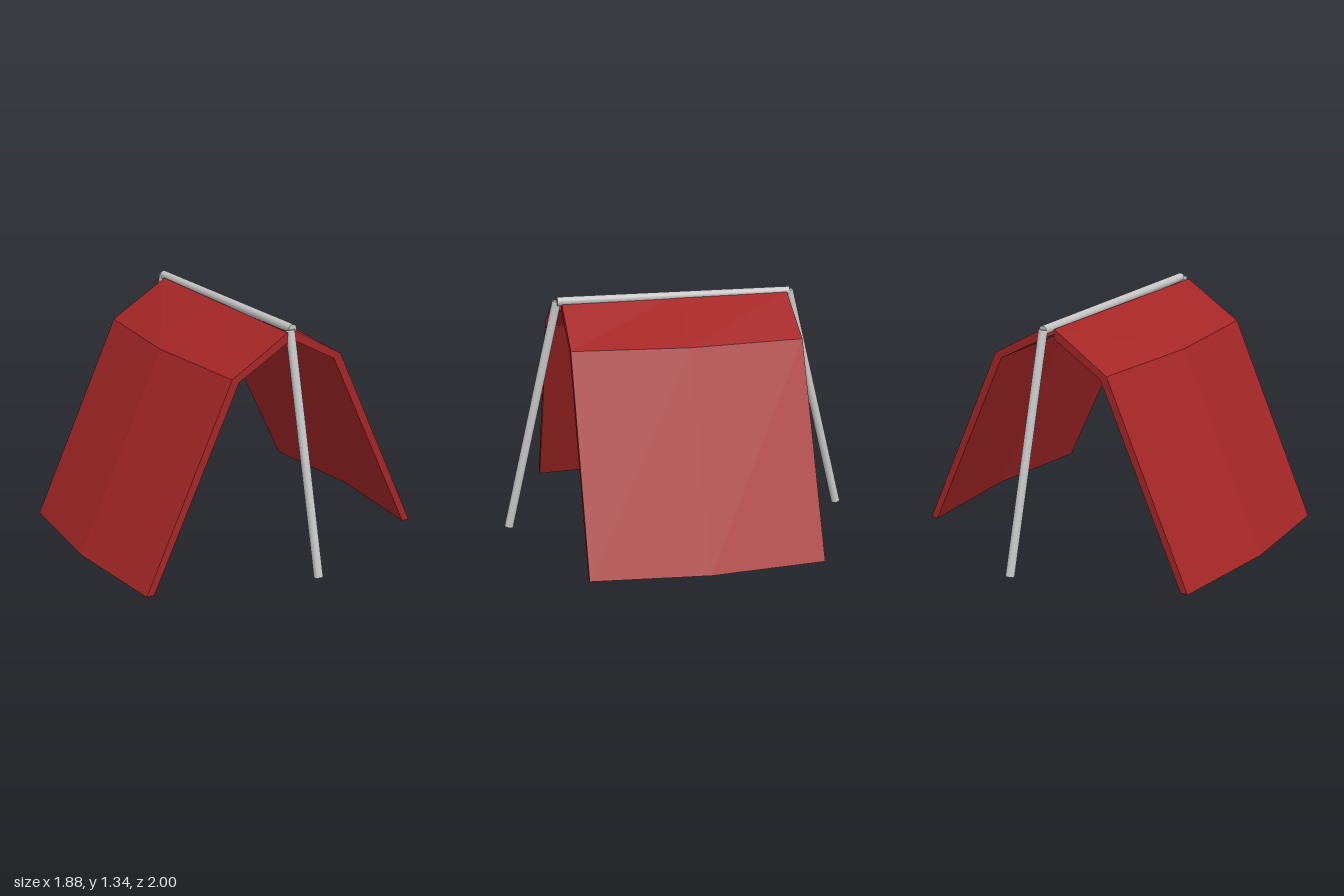
import * as THREE from 'three';

const red = new THREE.MeshStandardMaterial({ color: 0xa52626, flatShading: true });
red.name = 'red canvas';
const grey = new THREE.MeshStandardMaterial({ color: 0xc4c4c4 });
grey.name = 'pale grey metal';

// Canvas side: closed cross-section lofted through the back, middle and front.
// Its knee and foot bulge outwards in the middle.
function canvasSide(name, side, zBack, zFront, lift) {
  const section = (bulge) => [
    [0.018, 1.306], [0.36 + bulge, 1.108], [0.885 + bulge, 0.003],
    [0.84 + bulge, 0.003], [0.318 + bulge, 1.085], [0.018, 1.25],
  ];
  const rings = [[0, zBack], [0.057, (zBack + zFront) / 2], [0, zFront]].map(([bulge, z]) =>
    section(bulge).map(([x, y]) => [x * side, y + lift, z]));
  const pos = [];
  const tri = (a, b, c) => pos.push(...a, ...(side > 0 ? [...b, ...c] : [...c, ...b]));
  const quad = (a, b, c, d) => { tri(a, b, c); tri(a, c, d); };
  for (let r = 0; r < 2; r++) {
    for (let i = 0; i < 6; i++) {
      const j = (i + 1) % 6;
      quad(rings[r][i], rings[r + 1][i], rings[r + 1][j], rings[r][j]);
    }
  }
  // End caps, one quad for the roof and one for the wall
  const [b, , f] = rings;
  quad(b[0], b[1], b[4], b[5]);
  quad(b[1], b[2], b[3], b[4]);
  quad(f[5], f[4], f[1], f[0]);
  quad(f[4], f[3], f[2], f[1]);
  const geo = new THREE.BufferGeometry();
  geo.setAttribute('position', new THREE.Float32BufferAttribute(pos, 3));
  geo.computeVertexNormals();
  const mesh = new THREE.Mesh(geo, red);
  mesh.name = name;
  return mesh;
}

// Round pole between two points
function pole(name, from, to) {
  const a = new THREE.Vector3(...from), b = new THREE.Vector3(...to);
  const dir = b.clone().sub(a);
  const mesh = new THREE.Mesh(new THREE.CylinderGeometry(0.025, 0.025, dir.length(), 24), grey);
  mesh.position.copy(a).add(b).multiplyScalar(0.5);
  mesh.quaternion.setFromUnitVectors(new THREE.Vector3(0, 1, 0), dir.normalize());
  mesh.name = name;
  return mesh;
}

export function createModel() {
  const tent = new THREE.Group();
  tent.name = 'tent';
  tent.add(
    canvasSide('leftCanvas', 1, -0.638, 0.646, 0.01),
    canvasSide('rightCanvas', -1, -0.597, 0.69, 0),
    pole('ridgePole', [0.012, 1.308, -0.655], [0.026, 1.314, 0.67]),
    pole('frontPole', [0.01, 0.006, 0.975], [0.01, 1.312, 0.67]),
    pole('backPole', [0.01, 0.006, -0.975], [0.01, 1.312, -0.655]),
  );
  return tent;
}
